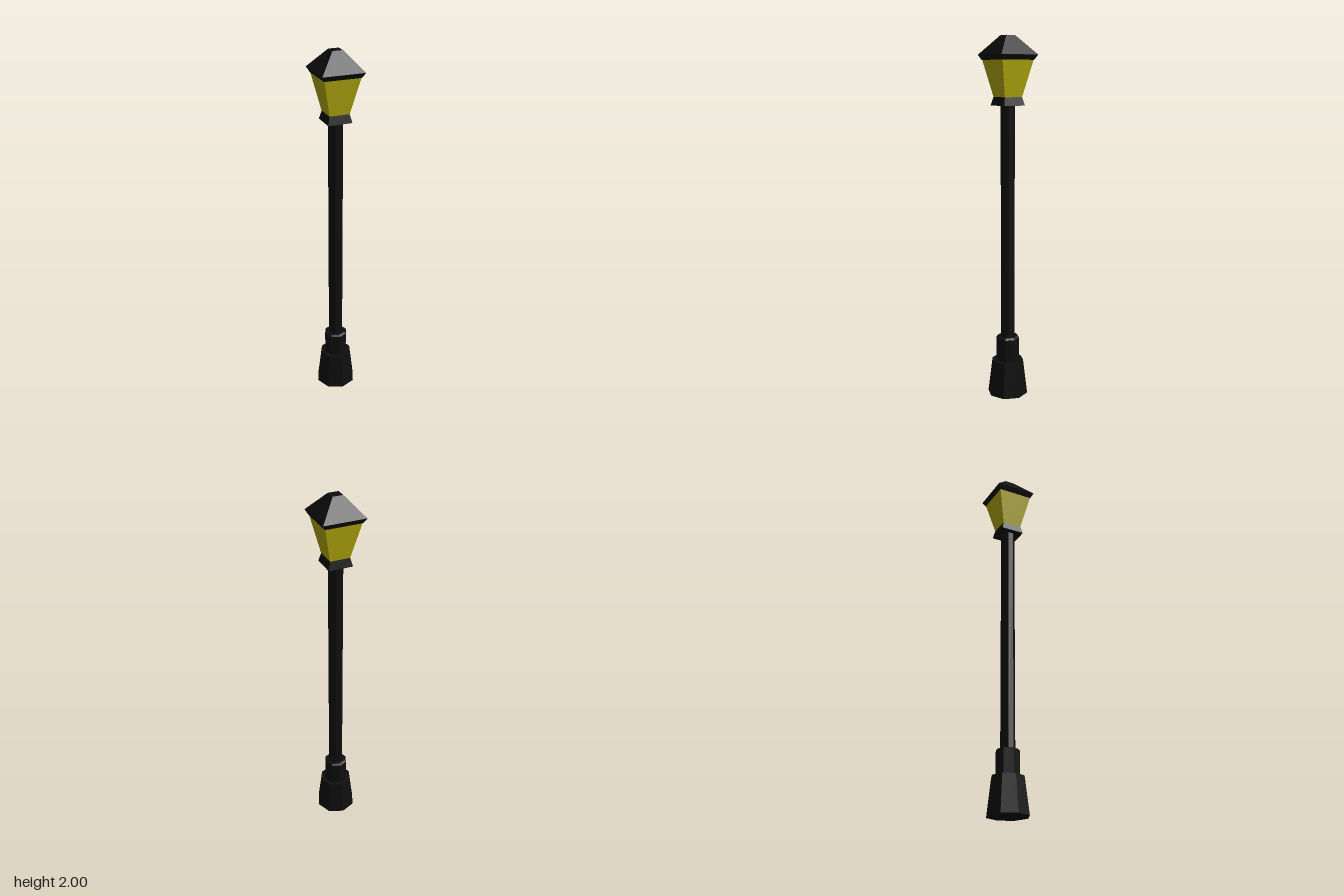
import * as THREE from 'three';

const iron = new THREE.MeshStandardMaterial({ color: 0x0e0e0e, flatShading: true });
const glow = new THREE.MeshStandardMaterial({ color: 0xb9b00f, flatShading: true });

export function createModel() {
  const group = new THREE.Group();
  group.name = 'streetLamp';

  // Tapered prism between heights y0 and y1 with corner radii r0 and r1
  function prism(name, sides, turn, y0, r0, y1, r1, material = iron) {
    const geometry = new THREE.CylinderGeometry(r1, r0, y1 - y0, sides);
    geometry.rotateY(turn);
    geometry.translate(0, (y0 + y1) / 2, 0);
    const mesh = new THREE.Mesh(geometry, material);
    mesh.name = name;
    group.add(mesh);
  }
  // Square version, given half widths instead of corner radii
  const square = (name, y0, w0, y1, w1, material) =>
    prism(name, 4, Math.PI / 4, y0, w0 * Math.SQRT2, y1, w1 * Math.SQRT2, material);

  // Eight-sided stepped foot with a chamfered upper block
  prism('base', 8, 0, 0, 0.114, 0.2, 0.089);
  prism('baseUpper', 8, 0, 0.2, 0.066, 0.33, 0.066);
  prism('baseChamfer', 8, 0, 0.33, 0.066, 0.34, 0.056);

  // Post
  prism('pole', 8, Math.PI / 8, 0.34, 0.039, 1.635, 0.039);

  // Square lantern head
  square('collar', 1.635, 0.066, 1.68, 0.055);
  square('lampGlass', 1.68, 0.055, 1.873, 0.098, glow);
  square('roofRim', 1.873, 0.1, 1.9, 0.115);
  square('roof', 1.9, 0.115, 2, 0.028);

  return group;
}
